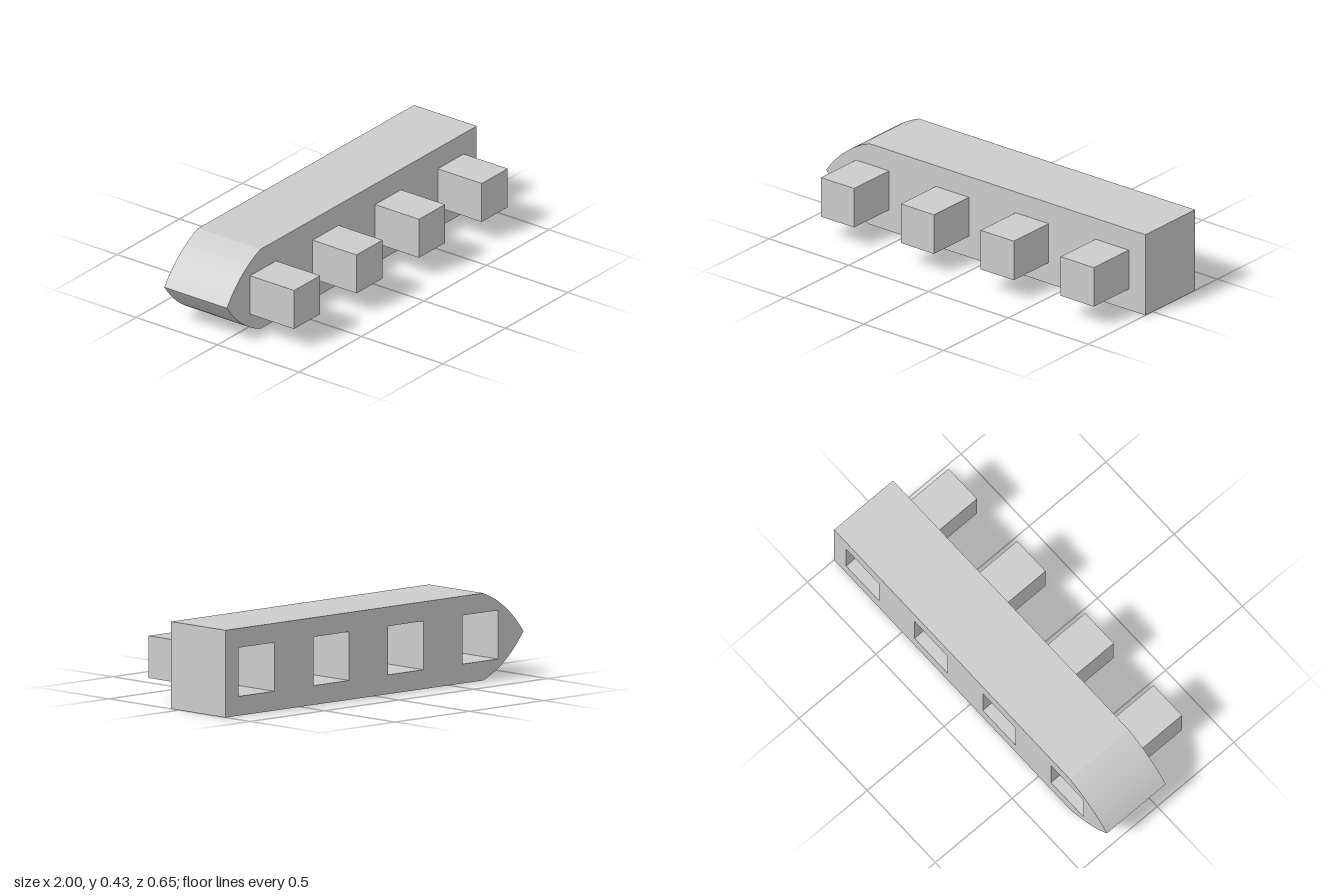
import * as THREE from 'three';

const HEIGHT = 0.43, MID = HEIGHT / 2;
const BACK = -0.327, FACE = 0.057, FRONT = 0.327;
const SOCKET_DEPTH = 0.265, SOCKET = 0.24, PEG = 0.208;
const CENTRES = [-0.71, -0.21, 0.29, 0.792];

// Side outline of the bar: square at one end, pointed arch at the other
function barOutline() {
  const s = new THREE.Shape();
  s.moveTo(1, 0);
  s.lineTo(1, HEIGHT);
  s.lineTo(-0.73, HEIGHT);
  s.quadraticCurveTo(-0.89, 0.37, -1, MID);
  s.quadraticCurveTo(-0.89, HEIGHT - 0.37, -0.73, 0);
  s.closePath();
  return s;
}

function squareHole(cx, cy, size) {
  const h = size / 2;
  const p = new THREE.Path();
  p.moveTo(cx - h, cy - h);
  p.lineTo(cx - h, cy + h);
  p.lineTo(cx + h, cy + h);
  p.lineTo(cx + h, cy - h);
  p.closePath();
  return p;
}

export function createModel() {
  const group = new THREE.Group();
  const material = new THREE.MeshStandardMaterial({ color: 0xcccccc, flatShading: true });

  const add = (name, geometry, x, y, z) => {
    const mesh = new THREE.Mesh(geometry, material);
    mesh.name = name;
    mesh.position.set(x, y, z);
    group.add(mesh);
  };
  const extrude = (shape, depth) =>
    new THREE.ExtrudeGeometry(shape, { depth, bevelEnabled: false, curveSegments: 12 });

  // Rear layer pierced by the square sockets
  const pierced = barOutline();
  CENTRES.forEach((x) => pierced.holes.push(squareHole(x, MID, SOCKET)));
  add('socketBar', extrude(pierced, SOCKET_DEPTH), 0, 0, BACK);

  // Solid front layer that closes the sockets
  const floorZ = BACK + SOCKET_DEPTH;
  add('frontBar', extrude(barOutline(), FACE - floorZ), 0, 0, floorZ);

  // Square pegs, slightly sunk into the front layer
  const sink = 0.02, length = FRONT - FACE + sink;
  const pegGeometry = new THREE.BoxGeometry(PEG, PEG, length);
  CENTRES.forEach((x, i) => add(`peg${i + 1}`, pegGeometry, x, MID, FRONT - length / 2));

  return group;
}
